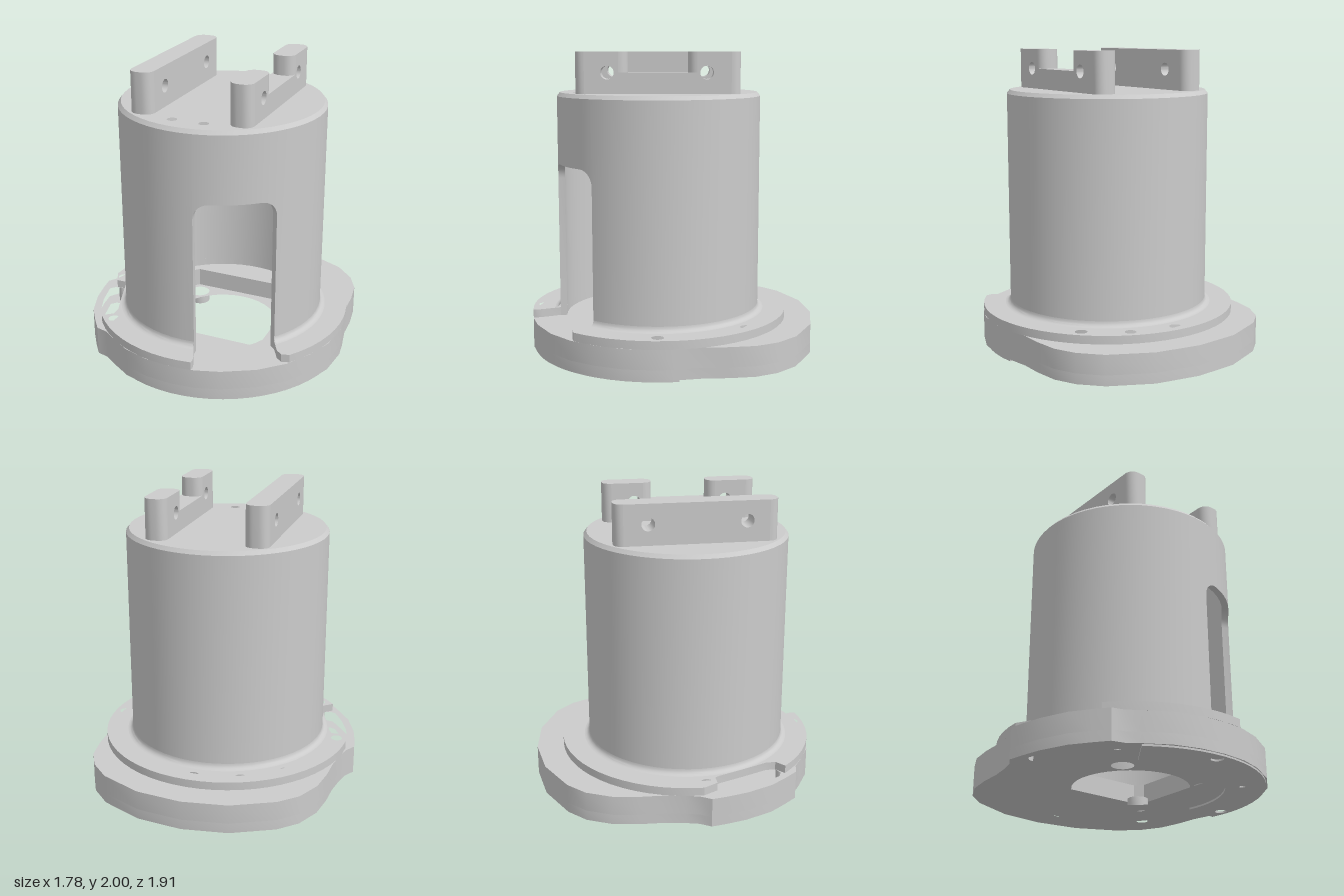
import * as THREE from 'three';
import { toCreasedNormals } from 'three/addons/utils/BufferGeometryUtils.js';

const CX = 0.025, CZ = 0.09;          // axis of the housing
const R = 0.68, RI = 0.635;           // tube radii
const WIN0 = 7.3, WIN1 = 52.5;        // window edges, degrees from the front
const rad = THREE.MathUtils.degToRad;

const material = new THREE.MeshStandardMaterial({ color: 0xcccccc });

function part(name, geometry, crease = 0.5) {
  const mesh = new THREE.Mesh(toCreasedNormals(geometry, crease), material);
  mesh.name = name;
  return mesh;
}

// point around the housing axis as [x, z]
const polar = (r, deg) => [CX + r * Math.sin(rad(deg)), CZ + r * Math.cos(rad(deg))];

function arc(r, from, to, step = 6) {
  const n = Math.ceil(Math.abs(to - from) / step);
  return Array.from({ length: n + 1 }, (_, i) => polar(r, from + ((to - from) * i) / n));
}

const toPoints = (list) => list.map(([x, z]) => new THREE.Vector2(x, -z));

function circle([x, z], r, n = 16) {
  return Array.from({ length: n }, (_, i) => {
    const a = (i / n) * Math.PI * 2;
    return [x + r * Math.cos(a), z + r * Math.sin(a)];
  });
}

// plan outline in x and z, raised from y0 to y1
function slab(outline, holes, y0, y1) {
  const shape = new THREE.Shape(toPoints(outline));
  holes.forEach((h) => shape.holes.push(new THREE.Path(toPoints(h))));
  const g = new THREE.ExtrudeGeometry(shape, { depth: y1 - y0, bevelEnabled: false });
  return g.rotateX(-Math.PI / 2).translate(0, y0, 0);
}

// tube wall: one closed cross-section per column, bottom edge lifted over the window
function wallGeometry() {
  const mid = (WIN0 + WIN1) / 2, half = (WIN1 - WIN0) / 2, corner = 9, top = 1.265, rise = 0.105;
  const columns = [];
  for (let i = 0; i <= 24; i++) {
    const s = -Math.cos((i / 24) * Math.PI) * half;
    const k = Math.max(0, Math.abs(s) - (half - corner)) / corner;
    columns.push([mid + s, top - rise + rise * Math.sqrt(Math.max(0, 1 - k * k))]);
  }
  for (let i = 0; i <= 48; i++) columns.push([WIN1 + ((360 - WIN1 + WIN0) * i) / 48, 0.21]);
  columns.push(columns[0]);

  const rings = columns.map(([deg, b]) =>
    [[R, b], [R, 1.71], [R - 0.02, 1.735], [RI - 0.01, 1.735], [RI - 0.01, 1.69], [RI, 1.69], [RI, b]].map(([r, y]) => {
      const [x, z] = polar(r, deg);
      return [x, y, z];
    }));
  const pos = [];
  for (let i = 0; i < rings.length - 1; i++) {
    const a = rings[i], b = rings[i + 1];
    for (let j = 0; j < a.length; j++) {
      const k = (j + 1) % a.length;
      pos.push(...a[j], ...b[j], ...b[k], ...a[j], ...b[k], ...a[k]);
    }
  }
  const g = new THREE.BufferGeometry();
  g.setAttribute('position', new THREE.Float32BufferAttribute(pos, 3));
  return g;
}

// upright block with cross hole and rounded vertical corners
function lugBlock(x0, x1, z0, z1, holeZs) {
  const group = new THREE.Group();
  const r = 0.06, y0 = 1.735, y1 = 2;
  const s = new THREE.Shape();
  s.moveTo(z0 + r, y0).lineTo(z1 - r, y0).lineTo(z1 - r, y1).lineTo(z0 + r, y1).closePath();
  holeZs.forEach((z) => s.holes.push(new THREE.Path().absarc(z, 1.87, 0.043, 0, Math.PI * 2, true)));
  const body = new THREE.ExtrudeGeometry(s, { depth: x1 - x0, bevelEnabled: false, curveSegments: 16 });
  group.add(part('lugBody', body.rotateY(-Math.PI / 2).translate(x1, 0, 0)));
  for (const [zi, dir] of [[z0 + r, -1], [z1 - r, 1]]) {
    const outline = [];
    for (const [cx, from] of [[x1 - r, 0], [x0 + r, 90]])
      for (let i = 0; i <= 6; i++) {
        const a = rad(from + i * 15);
        outline.push([cx + r * Math.cos(a), zi + dir * r * Math.sin(a)]);
      }
    group.add(part('lugEnd', slab(outline, [], y0, y1)));
  }
  return group;
}

export function createModel() {
  const model = new THREE.Group();
  model.name = 'motorHousing';

  // bolt circle, leaving out the one in the window
  const bolts = [0, 90, 135, 180, 225, 270, 315].map((d) => circle(polar(0.795, d), 0.04));
  const pin = circle([0.525, 0.59], 0.02, 10);

  // base plate with side slot
  const baseOutline = [
    [0.025, -0.96], [0.33, -0.92], [0.61, -0.79], [0.74, -0.66], [0.81, -0.52], [0.835, -0.35],
    [0.84, -0.2], [0.875, -0.02], [0.89, 0.09], [0.87, 0.3], [0.8, 0.48], [0.7, 0.64],
    [0.55, 0.78], [0.35, 0.89], [0.19, 0.94], [0.025, 0.955], [-0.15, 0.94], [-0.32, 0.89],
    [-0.47, 0.8], [-0.55, 0.745], [-0.63, 0.725], [-0.7, 0.635], [-0.78, 0.52], [-0.85, 0.34],
    [-0.88, 0.2], [-0.895, 0.1], [-0.85, 0.03], [-0.825, -0.06], [-0.8, -0.2], [-0.79, -0.35],
    [-0.76, -0.52], [-0.68, -0.68], [-0.56, -0.79], [-0.28, -0.92],
  ];
  const slot = [
    [-0.83, 0.2], [-0.8, 0.165], [-0.72, 0.155], [-0.7, 0.19], [-0.64, 0.36], [-0.575, 0.53],
    [-0.575, 0.595], [-0.625, 0.62], [-0.67, 0.6], [-0.74, 0.48], [-0.79, 0.36],
  ];
  const motorScrews = [45, 135, 225, 315].map((d) => circle(polar(0.47, d), 0.07));
  const bore = circle([CX, CZ], 0.38, 36);
  const p = 0.43, c = 0.05;           // square pocket with cut corners
  const pocket = [[p - c, p], [p, p - c], [p, c - p], [p - c, -p], [c - p, -p], [-p, c - p], [-p, p - c], [c - p, p]]
    .map(([x, z]) => [CX + x, CZ + z]);
  model.add(part('baseFloor', slab(baseOutline, [...bolts, pin, slot, bore, ...motorScrews], 0.012, 0.08)));
  model.add(part('basePlate', slab(baseOutline, [...bolts, pin, slot, pocket], 0.08, 0.21)));
  model.add(part('basePad',
    slab([...arc(0.855, -35, 99), ...arc(0.6, 99, -35)], [bolts[0], bolts[1], pin], 0, 0.012)));

  // raised flange, open at the window and relieved beside the slot
  const flange = [
    [0.11, 0.765], [0.16, 0.88], [0.172, 0.92], ...arc(0.865, 9.6, -50),
    [-0.6, 0.615], [-0.575, 0.595], [-0.575, 0.53], [-0.64, 0.36], [-0.7, 0.19], [-0.72, 0.155], [-0.79, 0.155],
    ...arc(0.865, -92, -307.5),
    [0.66, 0.63], [0.62, 0.6], [0.565, 0.505], ...arc(RI, -307.5, 7.3),
  ];
  const blind = [-0.28, 0.33].map((x) => circle([x, -0.645], 0.037));
  model.add(part('flange', slab(flange, [...bolts, ...blind], 0.21, 0.265)));

  // fillet between flange and tube
  const profile = Array.from({ length: 6 }, (_, i) => {
    const a = (i / 5) * Math.PI / 2, r = 0.036;
    return new THREE.Vector2(R + r - r * Math.sin(a), 0.265 + r - r * Math.cos(a));
  });
  const fillet = new THREE.LatheGeometry(profile, 48, rad(WIN1), rad(360 - WIN1 + WIN0));
  model.add(part('flangeFillet', fillet.translate(CX, 0, CZ)));

  // tube wall and roof
  model.add(part('tubeWall', wallGeometry()));
  const roofHoles = [-0.08, 0.13].map((x) => circle([x, 0.625], 0.032));
  model.add(part('roof', slab(circle([CX, CZ], RI, 48), roofHoles, 1.69, 1.735)));

  // plain lug and notched lug
  const plain = lugBlock(-0.385, -0.23, -0.435, 0.615, [-0.22, 0.41]);
  plain.name = 'plainLug';
  const notched = new THREE.Group();
  notched.name = 'notchedLug';
  notched.add(lugBlock(0.28, 0.43, -0.435, -0.1, [-0.22]), lugBlock(0.28, 0.43, 0.28, 0.615, [0.41]));
  const bridge = new THREE.BoxGeometry(0.15, 0.135, 0.5).translate(0.355, 1.8025, 0.09);
  notched.add(part('lugBridge', bridge));
  model.add(plain, notched);

  return model;
}
